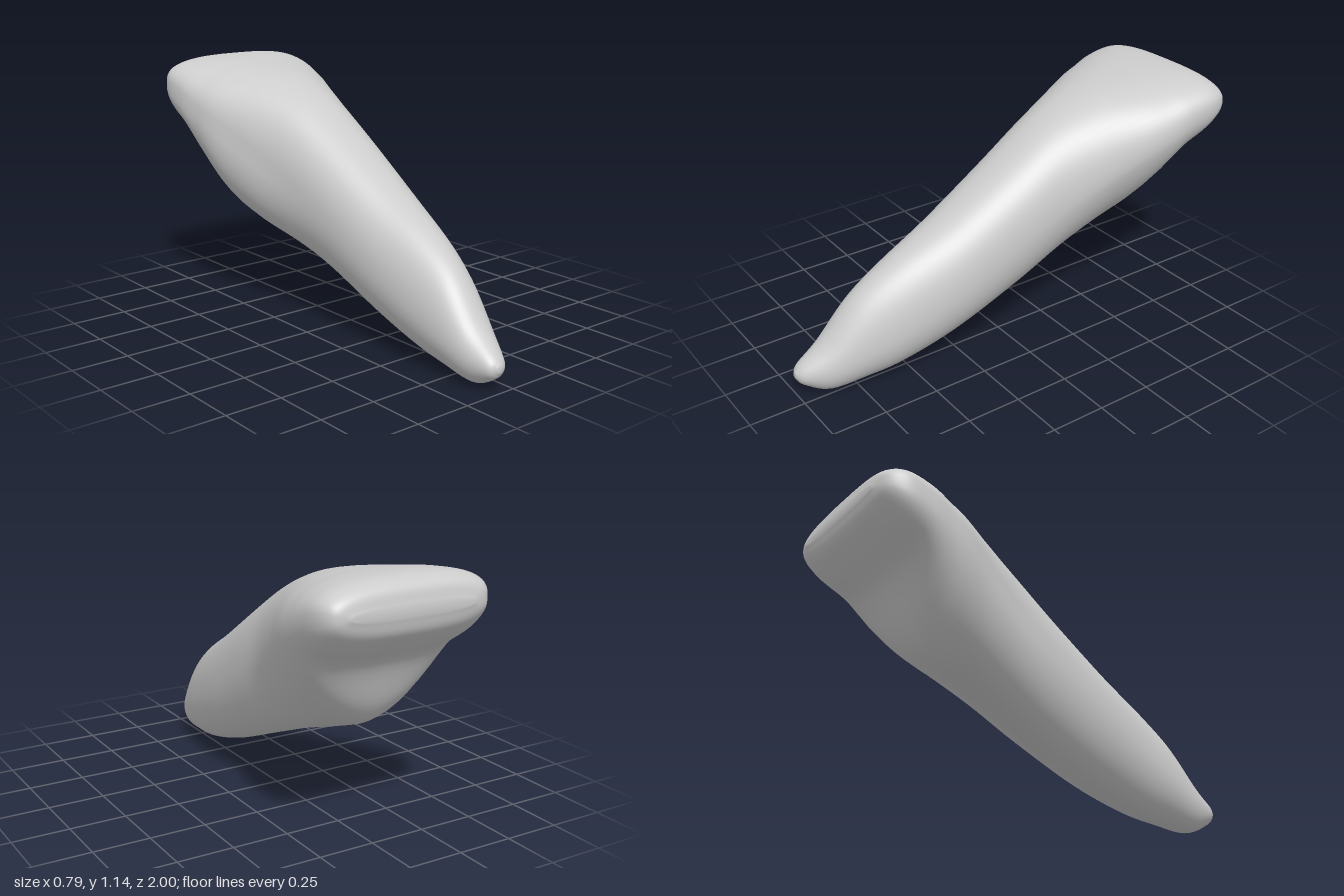
import * as THREE from 'three';

// Cross-sections from root tip to biting edge:
// [z, top y, bottom y], [min x, max x, y of widest point], [top squareness, bottom squareness, hollow depth]
const SECTIONS = [
  [[1.0, 0.115, 0.085], [-0.09, -0.06, 0.1], [2, 2, 0]],
  [[0.97, 0.15, 0.05], [-0.125, -0.02, 0.1], [2, 2, 0]],
  [[0.87, 0.235, 0.003], [-0.15, 0.04, 0.12], [2, 2, 0]],
  [[0.72, 0.41, 0.018], [-0.167, 0.095, 0.19], [2, 2, 0]],
  [[0.55, 0.53, 0.045], [-0.18, 0.143, 0.27], [2.1, 2, 0]],
  [[0.3, 0.665, 0.12], [-0.2, 0.19, 0.4], [2.2, 2, 0]],
  [[0.0, 0.85, 0.24], [-0.22, 0.22, 0.56], [2.3, 2, 0]],
  [[-0.22, 0.985, 0.325], [-0.25, 0.242, 0.67], [2.3, 2, 0]],
  [[-0.42, 1.07, 0.39], [-0.305, 0.295, 0.78], [2.3, 1.9, 0]],
  [[-0.58, 1.107, 0.455], [-0.36, 0.35, 0.87], [2.4, 1.8, 0]],
  [[-0.68, 1.123, 0.54], [-0.38, 0.375, 0.92], [2.5, 1.8, 0.015]],
  [[-0.78, 1.137, 0.71], [-0.392, 0.388, 0.97], [2.7, 2.1, 0.05]],
  [[-0.9, 1.14, 0.825], [-0.385, 0.39, 1.01], [2.9, 2.4, 0.035]],
  [[-0.975, 1.11, 0.92], [-0.335, 0.36, 1.02], [2.9, 2.5, 0.01]],
  [[-1.0, 1.04, 1.0], [-0.25, 0.29, 1.02], [2.8, 2.6, 0]],
];

const RINGS = 90;
const SIDES = 56;

function buildTooth() {
  const [heights, widths, shapes] = [0, 1, 2].map((k) => new THREE.CatmullRomCurve3(
    SECTIONS.map((row) => new THREE.Vector3(...row[k])), false, 'catmullrom', 0.5));
  const pos = [];
  const index = [];
  const power = (v, n) => Math.sign(v) * Math.pow(Math.abs(v), 2 / n);

  for (let i = 0; i <= RINGS; i++) {
    const t = i / RINGS;
    const h = heights.getPoint(t);
    const w = widths.getPoint(t);
    const s = shapes.getPoint(t);
    const cx = (w.x + w.y) / 2;
    const half = (w.y - w.x) / 2;
    // the bulge under the crown leans to the right
    const lean = 0.07 * Math.exp(-(((h.x + 0.5) / 0.32) ** 2));
    for (let j = 0; j < SIDES; j++) {
      const a = (j / SIDES) * Math.PI * 2;
      const c = Math.cos(a);
      const sn = Math.sin(a);
      const n = sn >= 0 ? s.x : s.y;
      const rise = power(sn, n);
      let x = cx + half * power(c, n);
      let y = w.z + rise * (sn >= 0 ? h.y - w.z : w.z - h.z);
      if (sn < 0) {
        x += lean * rise;
        // shallow hollow behind the biting edge
        y += s.z * Math.pow(sn, 4);
      }
      pos.push(x, y, h.x);
    }
  }

  // side walls
  for (let i = 0; i < RINGS; i++) {
    for (let j = 0; j < SIDES; j++) {
      const k = (j + 1) % SIDES;
      const a = i * SIDES + j;
      const b = i * SIDES + k;
      index.push(a, a + SIDES, b, b, a + SIDES, b + SIDES);
    }
  }

  // closed ends
  const tip = pos.length / 3;
  pos.push(-0.075, 0.1, 1.0, 0.02, 1.02, -1.0);
  const last = RINGS * SIDES;
  for (let j = 0; j < SIDES; j++) {
    const k = (j + 1) % SIDES;
    index.push(tip, j, k, tip + 1, last + k, last + j);
  }

  const geometry = new THREE.BufferGeometry();
  geometry.setAttribute('position', new THREE.Float32BufferAttribute(pos, 3));
  geometry.setIndex(index);
  geometry.computeVertexNormals();
  return geometry;
}

export function createModel() {
  const group = new THREE.Group();
  group.name = 'incisorTooth';
  const material = new THREE.MeshStandardMaterial({ color: 0xcccccc });
  material.name = 'light grey';
  const tooth = new THREE.Mesh(buildTooth(), material);
  tooth.name = 'tooth';
  group.add(tooth);
  return group;
}
